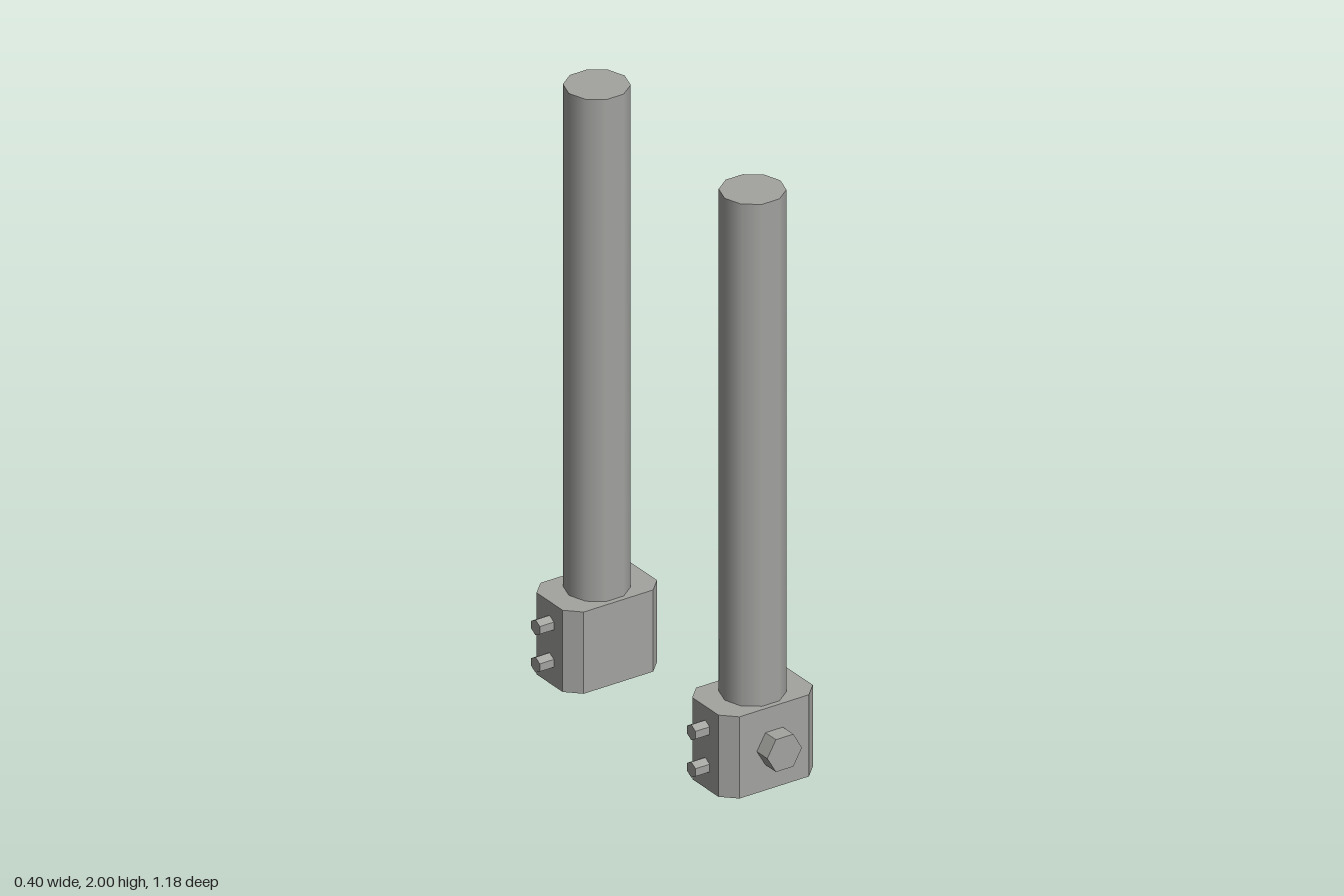
import * as THREE from 'three';

const CX = 0.026; // shared centre line of post and clamp
const CZ = 0.417; // distance of each post from the middle
const BASE_H = 0.28;

function addMesh(parent, name, geometry, material, x, y, z) {
  const mesh = new THREE.Mesh(geometry, material);
  mesh.name = name;
  mesh.position.set(x, y, z);
  parent.add(mesh);
  return mesh;
}

// Hexagonal bolt head with crisp facets, axis along y, corners on +-x
function hexGeometry(radius, length) {
  const g = new THREE.CylinderGeometry(radius, radius, length, 6, 1, false, Math.PI / 2).toNonIndexed();
  g.computeVertexNormals();
  return g;
}

// Block with chamfered vertical edges, standing on y = 0
function blockGeometry(hx, hz, c, height) {
  const s = new THREE.Shape([
    [hx, -hz + c], [hx, hz - c], [hx - c, hz], [-hx + c, hz],
    [-hx, hz - c], [-hx, -hz + c], [-hx + c, -hz], [hx - c, -hz],
  ].map(([x, z]) => new THREE.Vector2(x, z)));
  return new THREE.ExtrudeGeometry(s, { depth: height, bevelEnabled: false }).rotateX(-Math.PI / 2);
}

export function createModel() {
  const model = new THREE.Group();
  model.name = 'postPair';
  const steel = new THREE.MeshStandardMaterial({ color: 0xa3a3a0 });
  steel.name = 'grey steel';

  const postGeo = new THREE.CylinderGeometry(0.103, 0.103, 2 - BASE_H, 10, 1, false, Math.PI / 2);
  const blockGeo = blockGeometry(0.174, 0.116, 0.046, BASE_H);
  const largeBoltGeo = hexGeometry(0.064, 0.056).rotateX(Math.PI / 2);
  const smallBoltGeo = hexGeometry(0.0265, 0.052).rotateZ(Math.PI / 2);

  // Front and back assemblies, large bolts facing outward
  for (const side of [1, -1]) {
    const unit = new THREE.Group();
    unit.name = side > 0 ? 'frontPost' : 'backPost';
    unit.position.set(CX, 0, side * CZ);
    addMesh(unit, 'post', postGeo, steel, 0, (2 + BASE_H) / 2, 0);
    addMesh(unit, 'clampBlock', blockGeo, steel, 0, 0, 0);
    addMesh(unit, 'largeBolt', largeBoltGeo, steel, 0, 0.142, side * 0.144);
    addMesh(unit, 'upperSmallBolt', smallBoltGeo, steel, -0.2, 0.206, 0);
    addMesh(unit, 'lowerSmallBolt', smallBoltGeo, steel, -0.2, 0.078, 0);
    model.add(unit);
  }
  return model;
}
